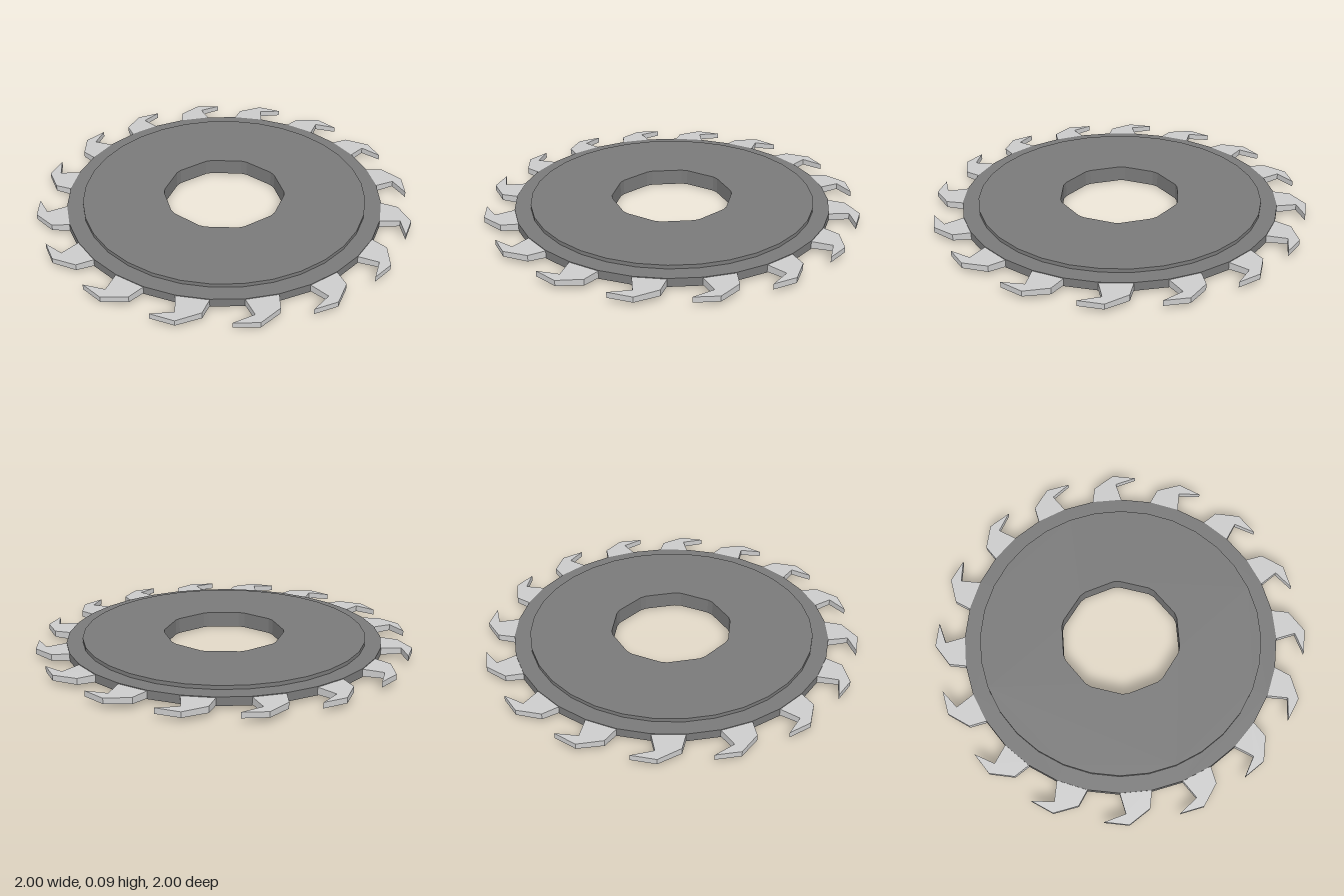
import * as THREE from 'three';

const SIDES = 32, TEETH = 16, MID = 0.0425;

// Regular polygon in plan, counter-clockwise, with one corner pointing to the back
function ring(radius, sides) {
  return Array.from({ length: sides }, (_, i) => {
    const a = (i / sides) * Math.PI * 2;
    return new THREE.Vector2(-radius * Math.sin(a), radius * Math.cos(a));
  });
}

// Ten-sided bore with slightly clipped corners
function borePoints() {
  const points = [], clip = THREE.MathUtils.degToRad(3);
  for (let i = 0; i < 10; i++) {
    for (const s of [-1, 1]) {
      const a = (i / 10) * Math.PI * 2 + s * clip;
      points.push(new THREE.Vector2(-0.323 * Math.sin(a), 0.323 * Math.cos(a)));
    }
  }
  return points;
}

// Flat plate lying in the ground plane, centred on the blade's mid height
function plate(outline, hole, thickness) {
  const shape = new THREE.Shape(outline);
  if (hole) shape.holes.push(new THREE.Path(hole));
  const geometry = new THREE.ExtrudeGeometry(shape, { depth: thickness, bevelEnabled: false });
  geometry.translate(0, 0, -thickness / 2);
  geometry.rotateX(-Math.PI / 2);
  return geometry;
}

export function createModel() {
  const group = new THREE.Group();
  const bodyMaterial = new THREE.MeshStandardMaterial({ color: 0x7a7a7a, flatShading: true });
  const toothMaterial = new THREE.MeshStandardMaterial({ color: 0xcccccc, flatShading: true });

  const add = (name, geometry, material) => {
    const mesh = new THREE.Mesh(geometry, material);
    mesh.name = name;
    mesh.position.y = MID;
    group.add(mesh);
    return mesh;
  };

  // Thick hub with the bore, and the thinner rim around it
  add('hub', plate(ring(0.757, SIDES), borePoints(), 2 * MID), bodyMaterial);
  add('rim', plate(ring(0.842, SIDES), ring(0.74, SIDES), 0.045), bodyMaterial);

  // Hooked tooth standing on one facet of the rim
  const hook = [
    [-0.164, 0.826], [-0.155, 0.917], [-0.05, 1.0], [0.078, 0.987],
    [-0.032, 0.945], [0, 0.842], [0, 0.82], [-0.16, 0.805],
  ].map(([x, y]) => new THREE.Vector2(x, y));
  const tooth = plate(hook, null, 2);

  // Thin the tooth from root to tip
  const p = tooth.attributes.position;
  for (let i = 0; i < p.count; i++) {
    const r = Math.hypot(p.getX(i), p.getZ(i));
    const half = THREE.MathUtils.mapLinear(r, 0.84, 1, 0.019, 0.0145);
    p.setY(i, Math.sign(p.getY(i)) * half);
  }
  tooth.computeVertexNormals();

  for (let i = 0; i < TEETH; i++) {
    add(`tooth${i + 1}`, tooth, toothMaterial).rotation.y = (i / TEETH) * Math.PI * 2;
  }
  return group;
}
